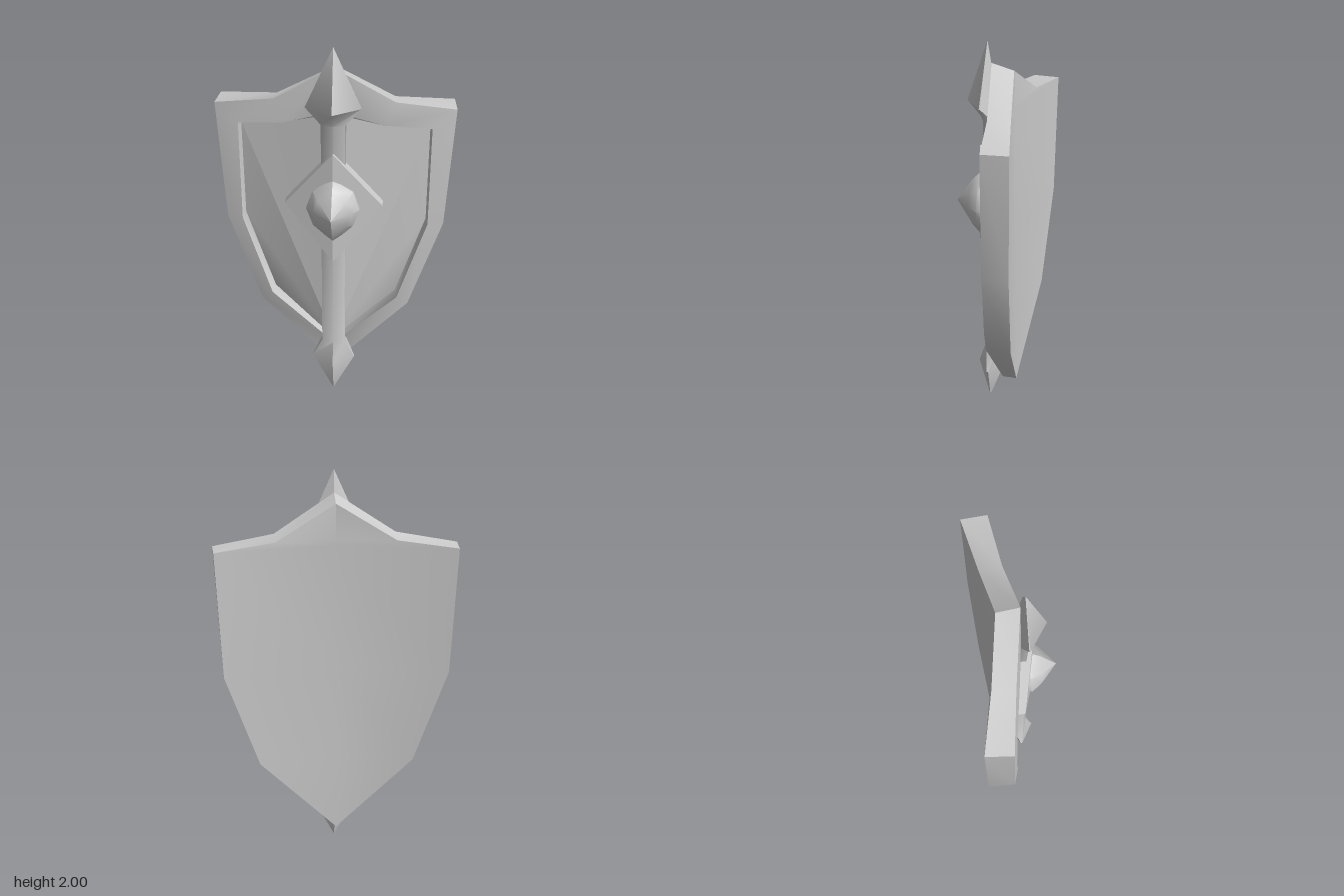
import * as THREE from 'three';
import { mergeVertices, toCreasedNormals } from 'three/addons/utils/BufferGeometryUtils.js';

// Indexed triangles with flat ('flat'), fully smooth ('smooth') or creased ('creased') shading
function finish(points, index, shading) {
  let g = new THREE.BufferGeometry();
  g.setAttribute('position', new THREE.Float32BufferAttribute(points, 3));
  g.setIndex(index);
  if (shading === 'creased') return toCreasedNormals(g, 0.75);
  g = shading === 'smooth' ? mergeVertices(g, 1e-4) : g.toNonIndexed();
  g.computeVertexNormals();
  return g;
}

// Skin between consecutive closed rings holding the same number of points
function loft(rings, shading) {
  const n = rings[0].length, index = [];
  for (let r = 0; r < rings.length - 1; r++) {
    for (let i = 0; i < n; i++) {
      const a = r * n + i, b = r * n + (i + 1) % n;
      index.push(a, a + n, b, b, a + n, b + n);
    }
  }
  return finish(rings.flat(2), index, shading);
}

// Complete a half outline (top centre, down the +x side, bottom centre) on the other side
const mirrorRing = (half) =>
  [...half, ...half.slice(1, -1).reverse().map(([x, y, z]) => [-x, y, z])];

export function createModel() {
  const group = new THREE.Group();
  const material = new THREE.MeshStandardMaterial({ color: 0xcccccc });
  const add = (name, geometry) => {
    const mesh = new THREE.Mesh(geometry, material);
    mesh.name = name;
    group.add(mesh);
  };

  // Shield outlines: back edge, front edge, inner rim edge, foot of the rim wall
  const back = [[0, 1.86, -0.09], [0.29, 1.69, -0.14], [0.58, 1.66, -0.2],
    [0.555, 1.03, -0.195], [0.39, 0.54, -0.17], [0, 0.13, -0.115]];
  const front = [[0, 1.89, 0.02], [0.295, 1.705, -0.03], [0.59, 1.66, -0.07],
    [0.555, 1.03, -0.065], [0.39, 0.54, -0.045], [0, 0.13, -0.04]];
  const inner = [[0, 1.67, 0.025], [0.25, 1.59, -0.01], [0.475, 1.565, -0.045],
    [0.475, 1.03, -0.045], [0.33, 0.59, -0.02], [0, 0.29, 0]];
  const foot = [[0, 1.655, 0.015], [0.25, 1.58, -0.04], [0.465, 1.555, -0.085],
    [0.465, 1.035, -0.1], [0.32, 0.595, -0.085], [0, 0.3, -0.08]];
  const spine = back.map(([, y]) => [0, y, -0.115 + 0.0145 * (y - 0.13)]);

  add('shieldBack', loft([spine, back].map(mirrorRing), 'smooth'));
  add('shieldRim', loft([back, front, inner, foot].map(mirrorRing), 'creased'));

  // Raised wedge and the hollows that fall away below it, fanned from a low centre point
  const peak = [0, 0.34, 0.02];
  for (const [side, name] of [[1, 'left'], [-1, 'right']]) {
    const points = [peak, ...foot].flatMap(([x, y, z]) => [x * side, y, z]);
    const fan = (corners) => corners.flatMap((i) => (side > 0 ? [0, i + 1, i] : [0, i, i + 1]));
    add(name + 'PanelWedge', finish(points, fan([1, 2]), 'creased'));
    add(name + 'PanelHollow', finish(points, fan([3, 4, 5]), 'smooth'));
  }

  // Central bar with a pointed finial at each end: y, half width, then back, side, front and rear-ridge z
  const bar = [
    [2.0, 0, 0.04, 0.04, 0.04, 0.04],
    [1.7, 0.135, 0.045, 0.05, 0.14, -0.01],
    [1.61, 0.06, -0.01, 0.045, 0.065, -0.02],
    [0.33, 0.06, -0.02, 0.035, 0.055, -0.03],
    [0.22, 0.112, 0.015, 0.025, 0.09, -0.05],
    [0, 0, 0.03, 0.03, 0.03, 0.03],
  ].map(([y, w, zb, zs, zf, zr]) =>
    [[-w, y, zb], [-w, y, zs], [0, y, zf], [w, y, zs], [w, y, zb], [0, y, zr]]);
  add('centralBar', loft(bar, 'creased'));

  // Folded diamond plate
  const plate = (z, s) => mirrorRing([[0, 1.165 + 0.305 * s, z + 0.06],
    [0.245 * s, 1.165, z + 0.06 * (1 - s)], [0, 1.165 - 0.305 * s, z + 0.06]]);
  add('diamondPlate', loft([plate(-0.04, 0), plate(-0.04, 1), plate(0.02, 1), plate(0.02, 0)], 'flat'));

  // Pointed boss, softly shaded
  const bossHalf = [[0, 0.17], [0.1, 0.095], [0.133, 0], [0.1, -0.095], [0, -0.19]];
  const bossRing = (s, z) => mirrorRing(bossHalf.map(([x, y]) => [x * s, 1.165 + y * s, z]));
  add('boss', loft([bossRing(1, 0.04), bossRing(1, 0.07), bossRing(0.7, 0.12), bossRing(0, 0.2)], 'creased'));

  return group;
}
